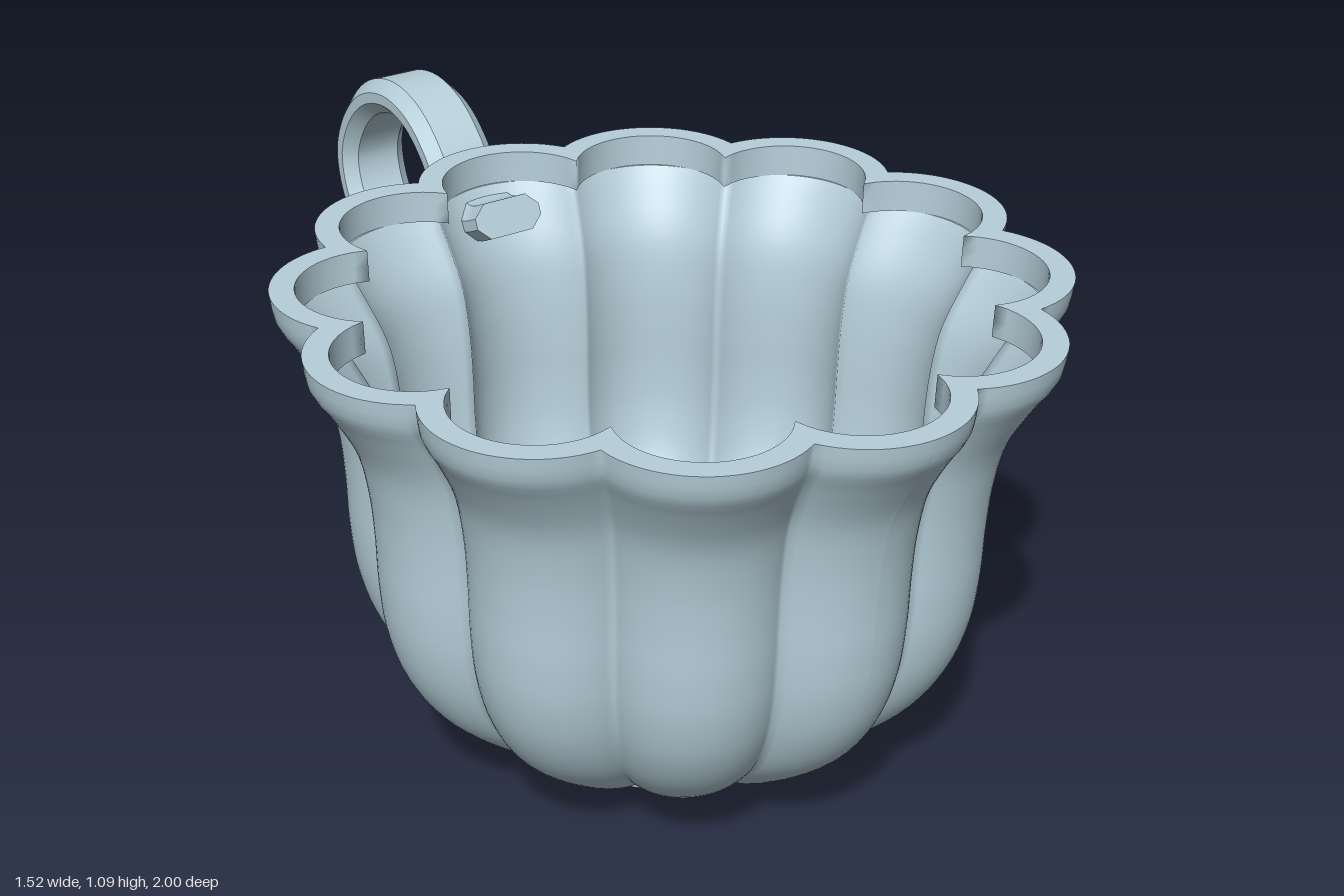
import * as THREE from 'three';
import { mergeGeometries } from 'three/addons/utils/BufferGeometryUtils.js';

const LOBES = 12;
const CUP_Z = 0.24;

// Smooth grid patch; faces point along (u direction) x (v direction)
function patch(nu, nv, fn) {
  const pos = [], idx = [];
  for (let j = 0; j <= nv; j++) {
    for (let i = 0; i <= nu; i++) pos.push(...fn(i / nu, j / nv));
  }
  for (let j = 0; j < nv; j++) {
    for (let i = 0; i < nu; i++) {
      const a = j * (nu + 1) + i, b = a + 1, c = a + nu + 1, d = c + 1;
      idx.push(a, b, d, a, d, c);
    }
  }
  const g = new THREE.BufferGeometry();
  g.setAttribute('position', new THREE.Float32BufferAttribute(pos, 3));
  g.setIndex(idx);
  g.computeVertexNormals();
  return g;
}

// Petal outline: a circular arc centred at fraction k of the lobe radius
const petal = (a, k) => k * Math.cos(a) + Math.sqrt(Math.max(0, (1 - k) ** 2 - (k * Math.sin(a)) ** 2));

// Sweep a profile of [lobe radius, height, k] round all the lobes
function scalloped(points, rows) {
  const curve = new THREE.CatmullRomCurve3(points.map(p => new THREE.Vector3(...p)), false, 'centripetal');
  const profile = curve.getSpacedPoints(rows);
  const perLobe = 24;
  return patch(LOBES * perLobe, rows, (u, v) => {
    const p = profile[Math.round(v * rows)];
    const step = Math.round(u * LOBES * perLobe);
    const a = ((step + perLobe / 2) % perLobe / perLobe - 0.5) * 2 * Math.PI / LOBES;
    const r = p.x * petal(a, p.z);
    const t = u * Math.PI * 2;
    return [r * Math.sin(t), p.y, r * Math.cos(t)];
  });
}

function handleGeometry() {
  // Centre line as [z, y]
  const path = [
    [-0.36, 0.905], [-0.415, 0.881], [-0.475, 0.882], [-0.53, 0.915], [-0.58, 0.98], [-0.65, 1.033],
    [-0.74, 1.052], [-0.84, 1.025], [-0.92, 0.955], [-0.962, 0.86], [-0.94, 0.765], [-0.86, 0.68],
    [-0.71, 0.6], [-0.56, 0.533], [-0.46, 0.475], [-0.405, 0.415], [-0.387, 0.345], [-0.42, 0.275],
    [-0.5, 0.237], [-0.575, 0.26], [-0.61, 0.325], [-0.59, 0.385], [-0.535, 0.422],
  ];
  const curve = new THREE.CatmullRomCurve3(path.map(([z, y]) => new THREE.Vector3(0, y, z)), false, 'centripetal');
  const steps = 140;
  const spine = curve.getSpacedPoints(steps);
  const tangents = spine.map((_, i) => curve.getTangentAt(i / steps));

  // Rectangular section with chamfered corners, as [across, in plane]
  const w = 0.077, h = 0.0375, cw = 0.027, ch = 0.026;
  const section = [
    [w, -h + ch], [w, h - ch], [w - cw, h], [cw - w, h],
    [-w, h - ch], [-w, ch - h], [cw - w, -h], [w - cw, -h],
  ];
  const place = (i, x, n) => [x, spine[i].y + n * tangents[i].z, spine[i].z - n * tangents[i].y];

  const parts = section.map((p, k) => {
    const q = section[(k + 1) % section.length];
    return patch(1, steps, (u, v) => place(Math.round(v * steps), ...(u < 0.5 ? p : q)));
  });
  // End caps
  const cap = (i, scale) => patch(8, 1, (u, v) => {
    const [x, n] = section[Math.round(u * 8) % 8];
    return place(i, x * scale(v), n * scale(v));
  });
  parts.push(cap(0, v => v), cap(steps, v => 1 - v));
  return mergeGeometries(parts);
}

export function createModel() {
  const model = new THREE.Group();
  model.name = 'scallopedCup';
  const glaze = new THREE.MeshStandardMaterial({ color: 0xb6cfda });
  glaze.name = 'pale blue glaze';

  const add = (name, geometry, y = 0, z = 0) => {
    const mesh = new THREE.Mesh(geometry, glaze);
    mesh.name = name;
    mesh.position.set(0, y, z);
    model.add(mesh);
  };

  // Bowl: outer wall, rim, straight inner lip with its ledge, inner wall, floor
  add('outerWall', scalloped([
    [0.2, 0.04, 0.728], [0.27, 0.041, 0.728], [0.345, 0.052, 0.728], [0.42, 0.1, 0.728],
    [0.53, 0.2, 0.728], [0.592, 0.3, 0.728], [0.623, 0.4, 0.728], [0.634, 0.5, 0.728],
    [0.637, 0.6, 0.728], [0.645, 0.7, 0.728], [0.667, 0.8, 0.728], [0.72, 0.9, 0.728],
    [0.752, 0.95, 0.728], [0.76, 1, 0.728],
  ], 52), 0, CUP_Z);
  add('rim', scalloped([[0.76, 1, 0.728], [0.712, 1, 0.779]], 1), 0, CUP_Z);
  add('innerLip', scalloped([[0.712, 1, 0.779], [0.71, 0.935, 0.779]], 2), 0, CUP_Z);
  add('lipLedge', scalloped([[0.71, 0.935, 0.779], [0.706, 0.935, 0.74]], 1), 0, CUP_Z);
  add('innerWall', scalloped([
    [0.706, 0.935, 0.74], [0.685, 0.9, 0.74], [0.634, 0.8, 0.74], [0.614, 0.7, 0.74],
    [0.607, 0.6, 0.74], [0.604, 0.5, 0.74], [0.593, 0.4, 0.74], [0.562, 0.3, 0.74],
    [0.5, 0.21, 0.74], [0.4, 0.122, 0.735], [0.325, 0.078, 0.73], [0.21, 0.065, 0.73],
  ], 48), 0, CUP_Z);
  add('innerFloor', scalloped([[0.21, 0.065, 0.73], [0, 0.065, 0.73]], 2), 0, CUP_Z);

  add('foot', new THREE.CylinderGeometry(0.26, 0.26, 0.05, 64), 0.025, CUP_Z);
  add('scrollHandle', handleGeometry());
  return model;
}
